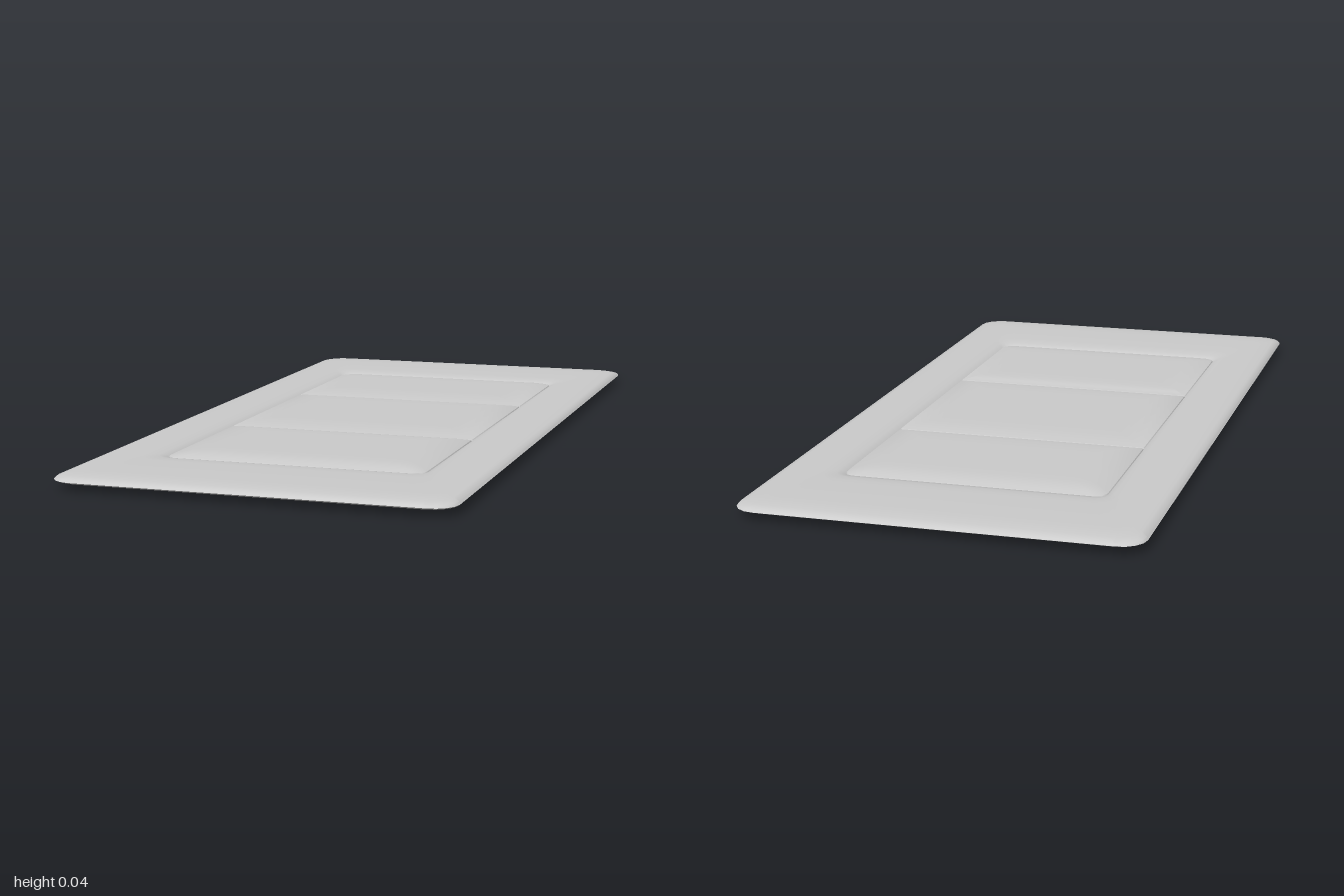
import * as THREE from 'three';
import { toCreasedNormals } from 'three/addons/utils/BufferGeometryUtils.js';

const material = new THREE.MeshStandardMaterial({ color: 0xcccccc });
const CORNER_STEPS = 4;

// Rounded rectangle, z0..z1 deep; front/back corners have their own radius
function ring({ x, z0, z1, y, rFront, rBack }) {
  const corners = [[1, 1, rFront], [-1, 1, rFront], [-1, -1, rBack], [1, -1, rBack]];
  const points = [];
  corners.forEach(([sx, sz, r], quarter) => {
    for (let i = 0; i <= CORNER_STEPS; i++) {
      const a = (quarter + i / CORNER_STEPS) * Math.PI / 2;
      const cz = sz > 0 ? z1 - r : z0 + r;
      points.push([sx * (x - r) + r * Math.cos(a), y, cz + r * Math.sin(a)]);
    }
  });
  return points;
}

// Skin a stack of rings and close both ends
function loft(name, sections) {
  const rings = sections.map(ring);
  const n = rings[0].length;
  const positions = rings.flat(2);
  const index = [];
  for (let i = 0; i < rings.length - 1; i++) {
    for (let j = 0; j < n; j++) {
      const k = (j + 1) % n;
      const a = i * n + j, b = i * n + k, c = a + n, d = b + n;
      index.push(a, c, b, b, c, d);
    }
  }
  const first = sections[0], last = sections[sections.length - 1];
  const lowCentre = rings.length * n, topCentre = lowCentre + 1;
  for (const s of [first, last]) positions.push(0, s.y, (s.z0 + s.z1) / 2);
  for (let j = 0; j < n; j++) {
    const k = (j + 1) % n, top = (rings.length - 1) * n;
    index.push(lowCentre, j, k, topCentre, top + k, top + j);
  }
  const geometry = new THREE.BufferGeometry();
  geometry.setAttribute('position', new THREE.Float32BufferAttribute(positions, 3));
  geometry.setIndex(index);
  const mesh = new THREE.Mesh(toCreasedNormals(geometry, 0.6), material);
  mesh.name = name;
  return mesh;
}

export function createModel() {
  const group = new THREE.Group();
  group.name = 'paddedMat';

  // Base: flat underside, thin rim, top border dipping to a recessed panel
  const base = [
    // half width, half length, height, corner radius, z shift
    [0.425, 0.86, 0, 0.05, 0],
    [0.455, 0.93, 0.007, 0.055, 0],
    [0.478, 0.985, 0.016, 0.06, 0],
    [0.485, 1, 0.022, 0.06, 0],
    [0.481, 0.995, 0.027, 0.06, 0],
    [0.465, 0.97, 0.032, 0.055, 0],
    [0.43, 0.92, 0.0335, 0.05, 0],
    [0.37, 0.75, 0.0335, 0.05, 0],
    [0.345, 0.71, 0.031, 0.04, -0.005],
    [0.33, 0.685, 0.026, 0.03, -0.005],
    [0.325, 0.68, 0.022, 0.03, -0.005],
  ];
  group.add(loft('matBase', base.map(([x, l, y, r, shift]) => (
    { x, z0: shift - l, z1: shift + l, y, rFront: r, rBack: r }))));

  // Three soft pads meeting in grooves; only the panel's outer corners are rounded
  const seams = [0.68, 0.24, -0.28, -0.69];
  const profile = [[0, 0.022], [0.003, 0.0265], [0.02, 0.031], [0.045, 0.035], [0.07, 0.0365], [0.1, 0.037]];
  for (let i = 0; i < 3; i++) {
    group.add(loft(['frontPad', 'middlePad', 'backPad'][i], profile.map(([inset, y]) => ({
      x: 0.329 - inset,
      z0: seams[i + 1] + inset,
      z1: seams[i] - inset,
      y,
      rFront: i === 0 ? 0.03 : 0.004,
      rBack: i === 2 ? 0.03 : 0.004,
    }))));
  }
  return group;
}
